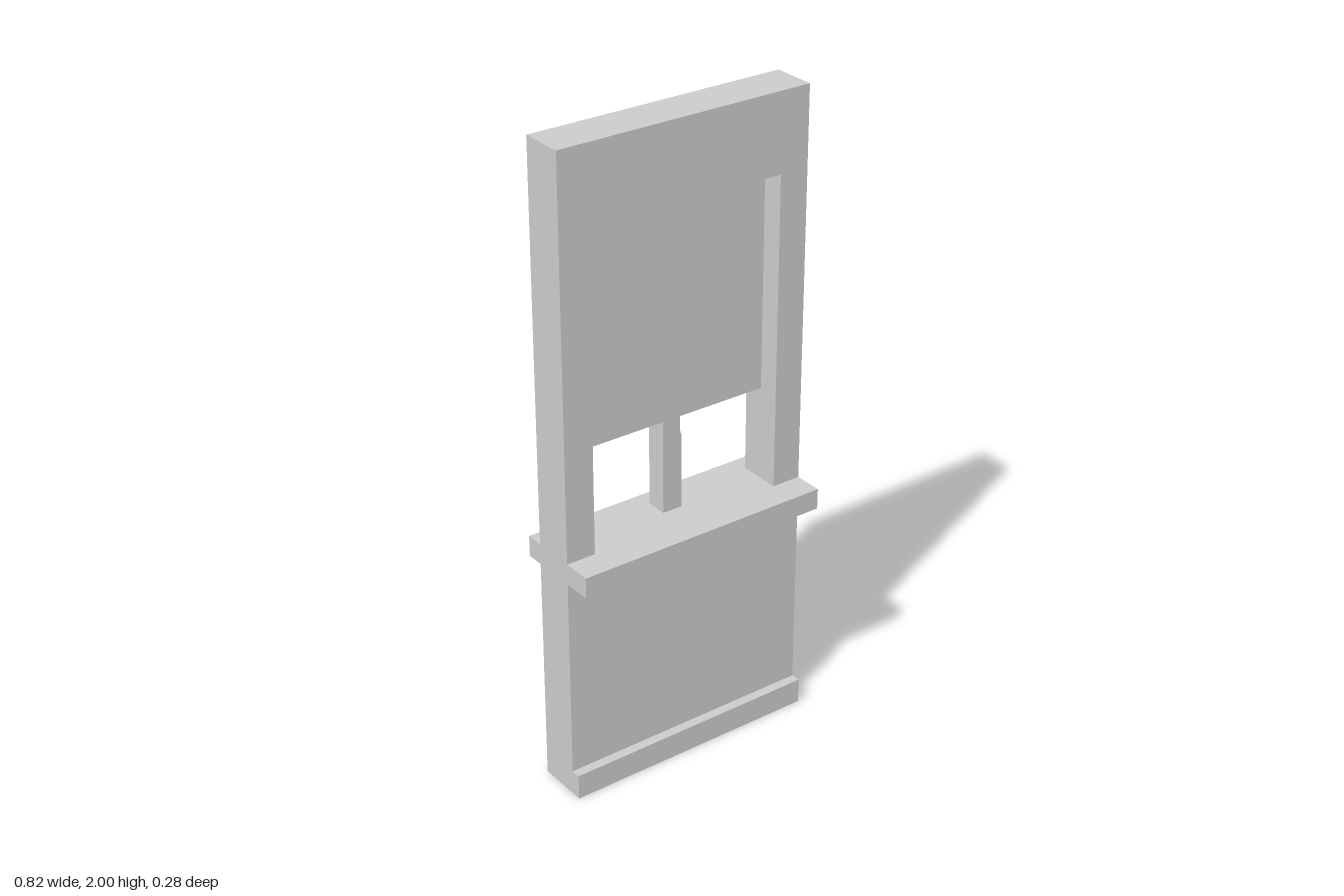
import * as THREE from 'three';

const material = new THREE.MeshStandardMaterial({ color: 0xcccccc, flatShading: true });
const W = 0.41, BACK = -0.085, FRONT = 0.05, MID = -0.018;
const SILL_LOW = 0.72, SILL_TOP = 0.785;

const outline = (points) => points.map(([x, y]) => new THREE.Vector2(x, y));

// Flat outline with optional holes, extruded from z0 to z1
function slab(name, points, holes, z0, z1) {
  const shape = new THREE.Shape(outline(points));
  holes.forEach((h) => shape.holes.push(new THREE.Path(outline(h))));
  const geometry = new THREE.ExtrudeGeometry(shape, { depth: z1 - z0, bevelEnabled: false });
  geometry.translate(0, 0, z0);
  const mesh = new THREE.Mesh(geometry, material);
  mesh.name = name;
  return mesh;
}

const rect = (x0, y0, x1, y1) => [[x0, y0], [x1, y0], [x1, y1], [x0, y1]];

export function createModel() {
  const group = new THREE.Group();
  group.name = 'wallPanel';

  // Lower wall, and upper frame around the tall recess
  const lower = slab('lowerWall', rect(-W, 0, W, SILL_LOW), [], BACK, FRONT);
  const R = 0.317, top = 1.76;
  const frame = slab('upperFrame', [
    [-W, SILL_TOP], [-R, SILL_TOP], [-R, top], [R, top],
    [R, SILL_TOP], [W, SILL_TOP], [W, 2], [-W, 2],
  ], [], BACK, FRONT);

  // Recessed panel with the centre post, slightly narrowed at its top right
  const panel = slab('recessedPanelAndPost', [
    [-R, 1.08], [-0.032, 1.08], [-0.032, SILL_TOP], [0.032, SILL_TOP],
    [0.032, 1.02], [0.027, 1.035], [0.027, 1.08], [R, 1.08], [R, top], [-R, top],
  ], [], BACK, MID);

  // Counter projecting on both sides
  const counter = slab('counter', rect(-W, SILL_LOW, W, SILL_TOP), [], -0.14, 0.14);

  // Skirting along the front foot
  const skirting = slab('skirting', rect(-W, 0, W, 0.08), [], FRONT, 0.08);

  group.add(lower, frame, panel, counter, skirting);
  return group;
}
